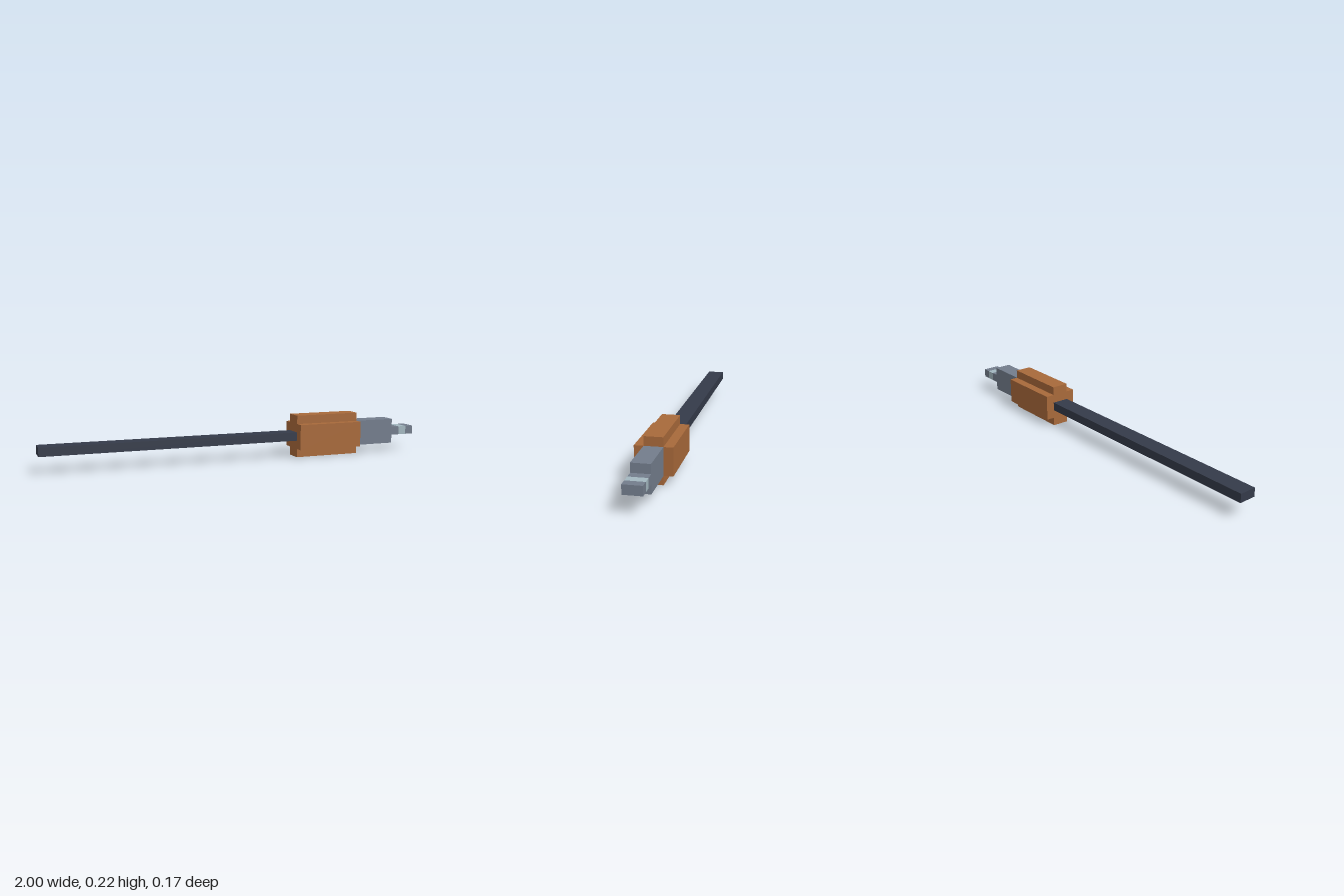
import * as THREE from 'three';

// One grid cell: the model is 46 cells long
const U = 2 / 46;

function material(name, color) {
  const m = new THREE.MeshStandardMaterial({ color });
  m.name = name;
  return m;
}

export function createModel() {
  const group = new THREE.Group();
  group.name = 'handheldTool';

  const dark = material('dark slate', 0x343a49);
  const copper = material('copper brown', 0xa8693a);
  const steel = material('steel grey', 0x737d8c);
  const pale = material('pale steel', 0xa3b8c0);

  // Block from cell x0 to x1, with height and depth in cells, centred on the shaft axis
  function block(name, mat, x0, x1, height, depth) {
    const geometry = new THREE.BoxGeometry((x1 - x0) * U, height * U, depth * U);
    const mesh = new THREE.Mesh(geometry, mat);
    mesh.name = name;
    mesh.position.set(((x0 + x1) / 2 - 23) * U, 2.5 * U, 0);
    group.add(mesh);
  }

  // Long shaft
  block('shaft', dark, 0, 30, 1, 2);

  // Cross-shaped grip: tall core with side cheeks
  block('gripCore', copper, 30, 38, 5, 2);
  block('gripCheeks', copper, 30, 38, 3, 4);

  // Collar and stepped end with a pale band
  block('collar', steel, 38, 43, 3, 2);
  block('tipBase', steel, 43, 44, 1, 2);
  block('tipBand', pale, 44, 45, 1, 2);
  block('tipEnd', steel, 45, 46, 1, 2);

  return group;
}
